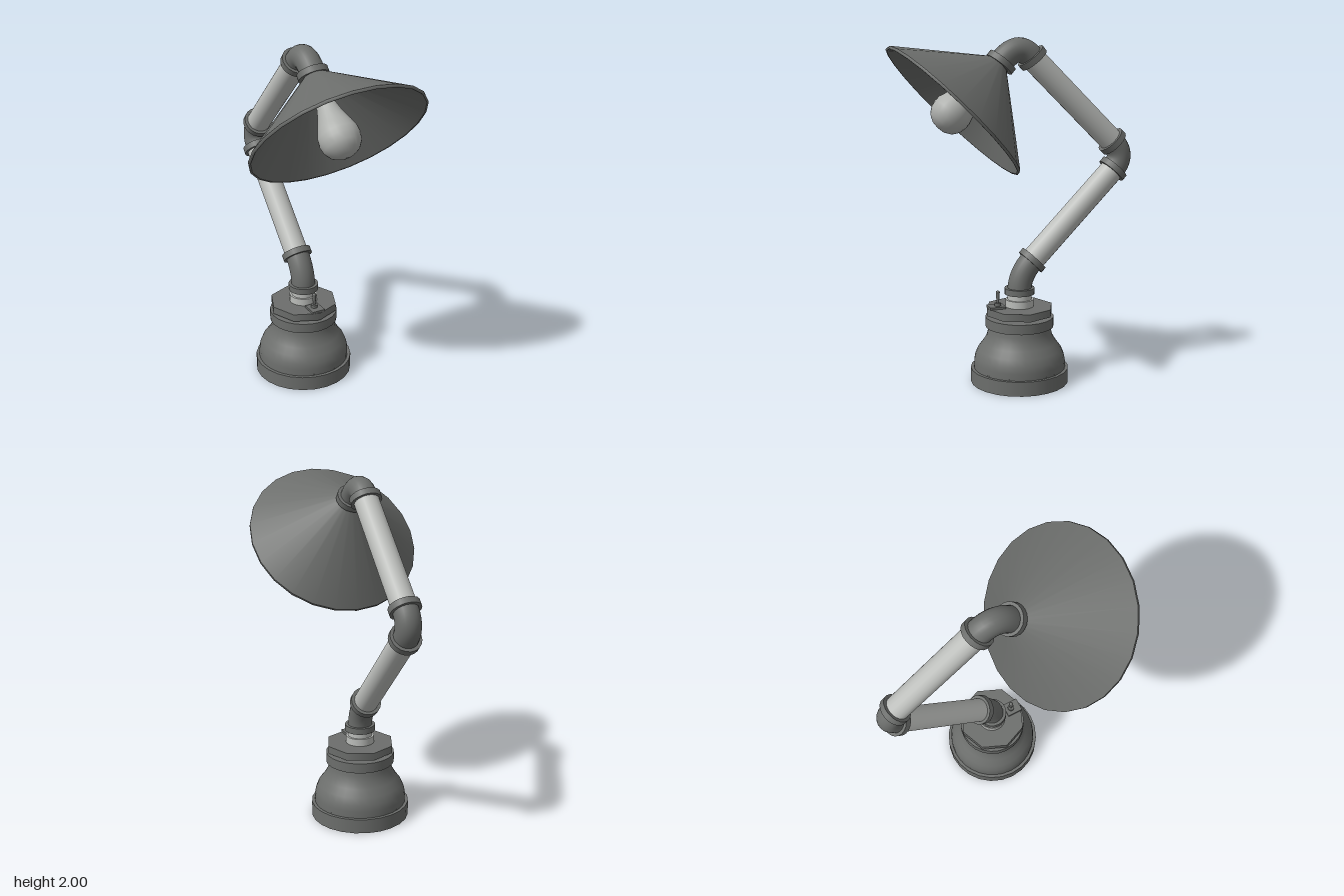
import * as THREE from 'three';

const UP = new THREE.Vector3(0, 1, 0);
const BASE_Z = -0.025;
const PIPE_R = 0.07;

export function createModel() {
  const lamp = new THREE.Group();
  lamp.name = 'pipeLamp';

  const iron = new THREE.MeshStandardMaterial({ color: 0x6c6e6c });
  iron.name = 'dark iron';
  const shadeIron = new THREE.MeshStandardMaterial({ color: 0x6c6e6c, side: THREE.DoubleSide });
  shadeIron.name = 'dark iron sheet';
  const steel = new THREE.MeshStandardMaterial({ color: 0xbcbebb });
  steel.name = 'light steel';
  const glass = new THREE.MeshStandardMaterial({ color: 0xaeb0ad });
  glass.name = 'bulb glass';

  const add = (name, geometry, material, parent = lamp) => {
    const mesh = new THREE.Mesh(geometry, material);
    mesh.name = name;
    parent.add(mesh);
    return mesh;
  };
  const at = (y, z) => new THREE.Vector3(0, y, z);
  // Upright cylinder on the base axis, from y0 to y1
  const disc = (name, r, y0, y1, material, sides = 24) => {
    const mesh = add(name, new THREE.CylinderGeometry(r, r, y1 - y0, sides), material);
    mesh.position.set(0, (y0 + y1) / 2, BASE_Z);
    return mesh;
  };
  const lathe = (points, sides = 24) =>
    new THREE.LatheGeometry(points.map(([r, y]) => new THREE.Vector2(r, y)), sides);

  // Base: flange, bell-shaped reducer, top collar
  disc('baseFlange', 0.287, 0, 0.085, iron);
  const bell = add('baseBell', lathe([
    [0.268, 0.08], [0.268, 0.125], [0.262, 0.16], [0.245, 0.2],
    [0.215, 0.24], [0.194, 0.275], [0.185, 0.31], [0.18, 0.345],
  ], 32), iron);
  bell.position.z = BASE_Z;
  disc('bellShoulder', 0.268, 0.08, 0.092, iron);
  disc('baseCollar', 0.2, 0.335, 0.393, iron);
  disc('plugNeck', 0.1, 0.39, 0.41, iron);

  // Octagonal plug, flat sided, with corners on the x axis
  const plug = disc('octagonPlug', 0.2, 0.408, 0.452, iron, 8);
  plug.rotation.y = Math.PI / 2;

  // Light nipple between plug and first elbow
  disc('nippleFoot', 0.082, 0.45, 0.495, steel);
  disc('nipple', PIPE_R, 0.49, 0.54, steel);

  // Toggle switch on the plug
  const plate = add('switchPlate', new THREE.BoxGeometry(0.08, 0.014, 0.095), iron);
  plate.position.set(0, 0.458, 0.118);
  const nut = add('switchNut', new THREE.CylinderGeometry(0.02, 0.02, 0.02, 12), iron);
  nut.position.set(0, 0.472, 0.108);
  const lever = add('switchLever', new THREE.CylinderGeometry(0.012, 0.007, 0.07, 10), iron);
  lever.position.set(0, 0.51, 0.108);
  const tip = add('switchTip', new THREE.SphereGeometry(0.012, 10, 8), iron);
  tip.position.set(0, 0.543, 0.108);

  // Elbows: start, corner, end, each with a collar at both ends
  const elbows = [
    [at(0.545, BASE_Z), at(0.64, BASE_Z), at(0.72, -0.103)],
    [at(1.235, -0.605), at(1.315, -0.68), at(1.397, -0.597)],
    [at(1.885, -0.1), at(1.985, -0.015), at(1.863, 0.085)],
  ];
  const collar = (point, direction) => {
    const mesh = add('elbowCollar', new THREE.CylinderGeometry(0.088, 0.088, 0.036, 20), iron);
    mesh.position.copy(point);
    mesh.quaternion.setFromUnitVectors(UP, direction);
  };
  elbows.forEach(([a, corner, b]) => {
    const curve = new THREE.QuadraticBezierCurve3(a, corner, b);
    add('elbow', new THREE.TubeGeometry(curve, 14, PIPE_R, 20), iron);
    collar(a, curve.getTangent(0));
    collar(b, curve.getTangent(1));
  });

  // Straight light pipes between elbows
  const pipe = (name, a, b) => {
    const mesh = add(name, new THREE.CylinderGeometry(PIPE_R, PIPE_R, a.distanceTo(b), 20), steel);
    mesh.position.copy(a).lerp(b, 0.5);
    mesh.quaternion.setFromUnitVectors(UP, b.clone().sub(a).normalize());
  };
  pipe('lowerPipe', elbows[0][2], elbows[1][0]);
  pipe('upperPipe', elbows[1][2], elbows[2][0]);

  // Lamp head: local y runs along the lamp axis, origin at the rim centre
  const head = new THREE.Group();
  head.name = 'lampHead';
  head.position.set(0, 1.592, 0.368);
  head.quaternion.setFromUnitVectors(UP, at(-0.7, 0.715).normalize());
  lamp.add(head);

  add('shadeOuter', lathe([[0.062, -0.375], [0.5, -0.012]]), shadeIron, head);
  add('shadeRim', lathe([[0.5, -0.012], [0.5, 0.002], [0.49, 0.002]]), shadeIron, head);
  add('shadeInner', lathe([[0.49, 0.002], [0.056, -0.365]]), shadeIron, head);
  const throat = add('shadeThroat', new THREE.CylinderGeometry(0.064, 0.064, 0.05, 20), iron, head);
  throat.position.y = -0.38;

  // Socket and bulb
  const socket = add('bulbSocket', new THREE.CylinderGeometry(0.06, 0.06, 0.09, 20), iron, head);
  socket.position.y = -0.315;
  const lip = add('socketLip', new THREE.CylinderGeometry(0.066, 0.066, 0.025, 20), iron, head);
  lip.position.y = -0.27;
  add('bulb', lathe([
    [0.045, -0.27], [0.05, -0.21], [0.072, -0.13], [0.098, -0.065], [0.113, -0.02],
    [0.115, 0.015], [0.106, 0.055], [0.082, 0.09], [0.045, 0.111], [0, 0.118],
  ]), glass, head);

  return lamp;
}
